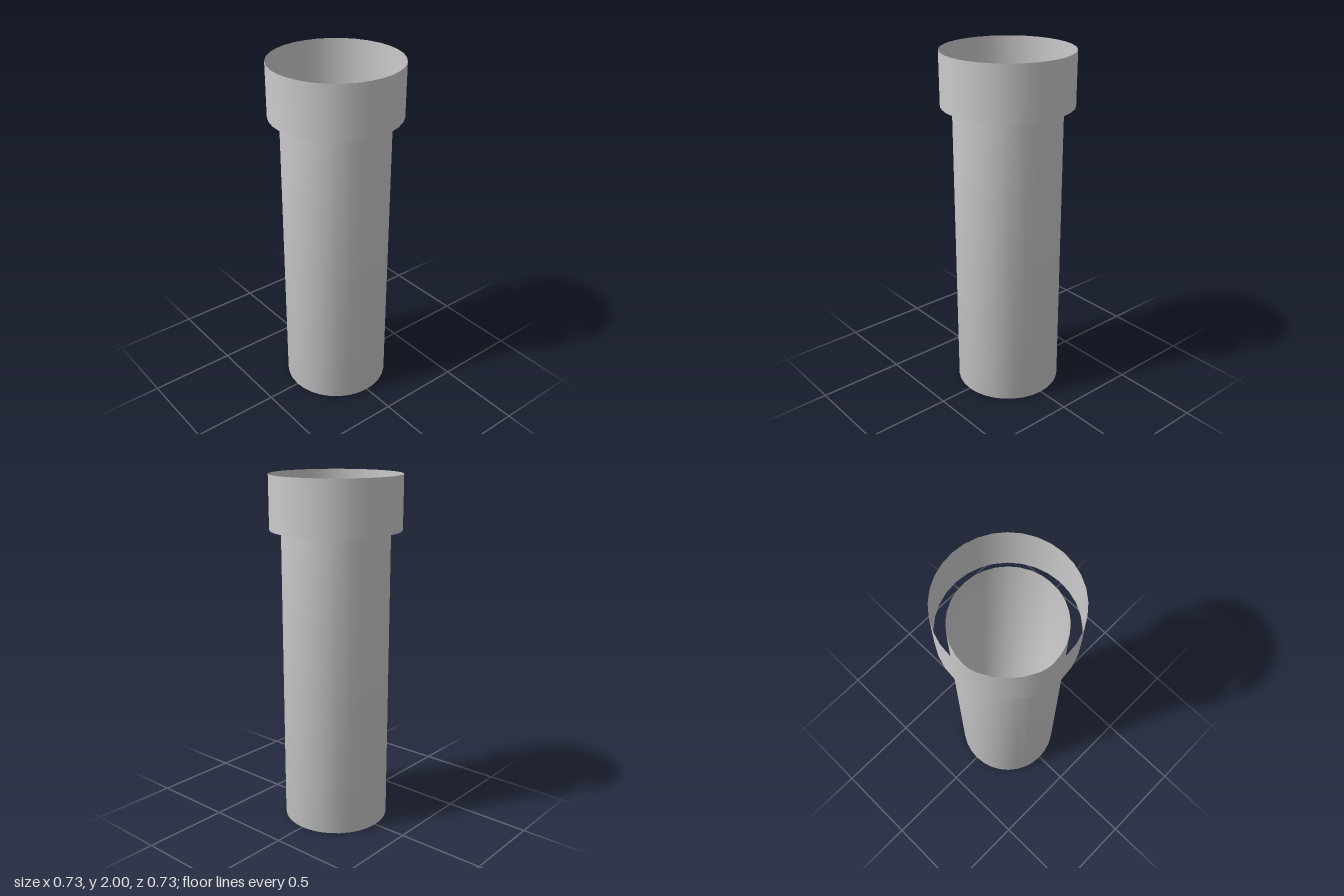
import * as THREE from 'three';

const SIDES = 32;

export function createModel() {
  const model = new THREE.Group();
  model.name = 'collaredTube';
  // thin, open shells are seen from both sides
  const material = new THREE.MeshStandardMaterial({ color: 0xcccccc, side: THREE.DoubleSide });

  // Shaft: open at the top, closed at the bottom with softly shaded rim
  const profile = [[0, 0], [0.302, 0], [0.302, 1.78]].map(([r, y]) => new THREE.Vector2(r, y));
  const shaft = new THREE.Mesh(new THREE.LatheGeometry(profile, SIDES), material);
  shaft.name = 'shaft';
  model.add(shaft);

  // Collar: wider sleeve, open at both ends, standing clear of the shaft
  const collarHeight = 0.3;
  const collar = new THREE.Mesh(
    new THREE.CylinderGeometry(0.366, 0.366, collarHeight, SIDES, 1, true), material);
  collar.name = 'collar';
  collar.position.y = 2 - collarHeight / 2;
  model.add(collar);

  return model;
}
